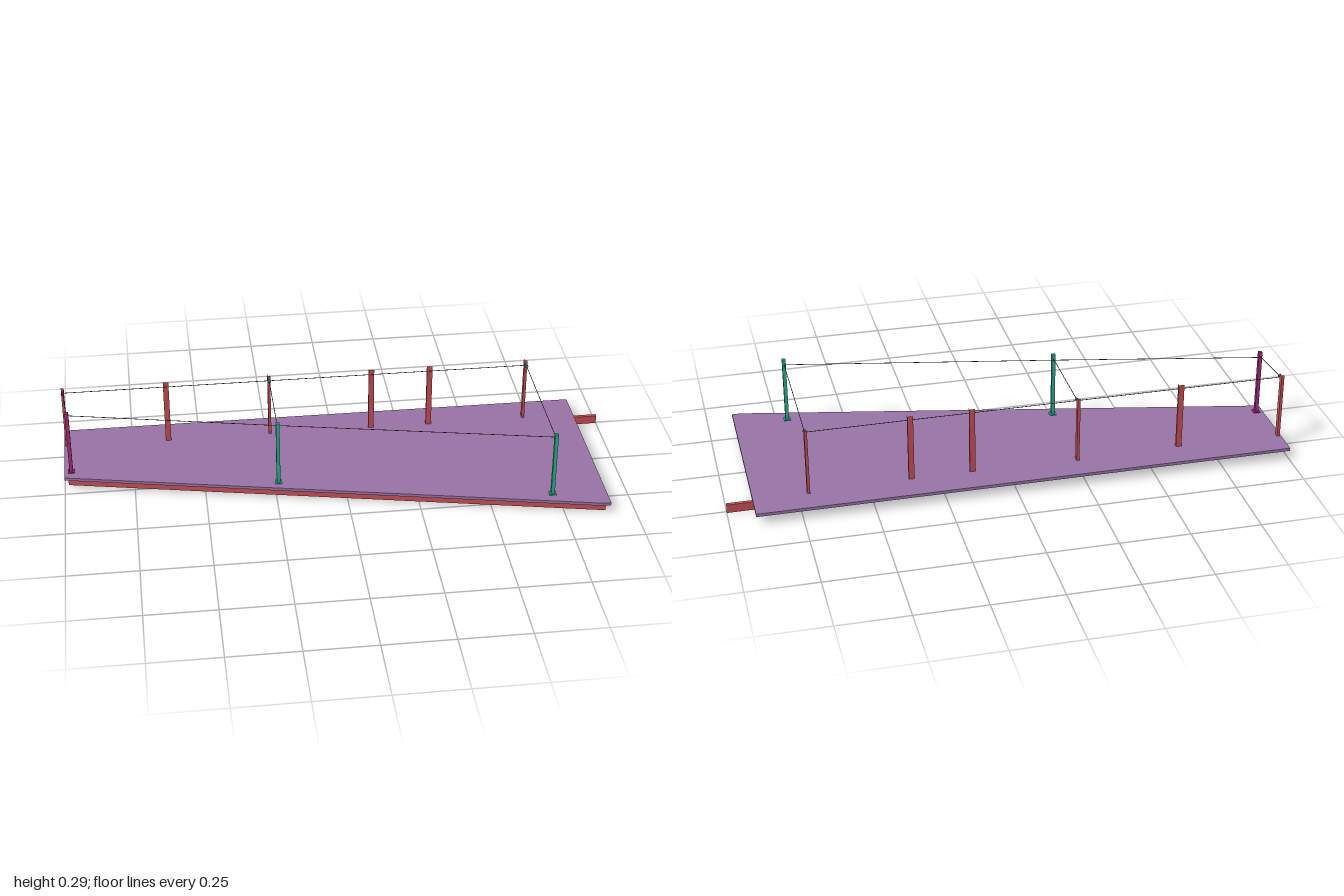
import * as THREE from 'three';

const mat = (color) => new THREE.MeshStandardMaterial({ color, flatShading: true });

export function createModel() {
  const root = new THREE.Group();
  const model = new THREE.Group();
  root.add(model);
  const red = mat(0xc84f55), purple = mat(0x9873a6), green = mat(0x2bb08d);
  const magenta = mat(0xa62c7c), dark = mat(0x444444);

  const add = (name, geometry, material, x = 0, y = 0, z = 0) => {
    const mesh = new THREE.Mesh(geometry, material);
    mesh.name = name;
    mesh.position.set(x, y, z);
    model.add(mesh);
    return mesh;
  };

  // Box without its two end caps; axis 0 = x, 1 = y
  const openBox = (w, h, d, axis) => {
    const g = new THREE.BoxGeometry(w, h, d);
    const index = Array.from(g.index.array);
    index.splice(axis * 12, 12);
    g.setIndex(index);
    return g;
  };

  // Hollow beam running between two points in plan
  const beam = (name, x0, z0, x1, z1, bottom, height, width) => {
    const length = Math.hypot(x1 - x0, z1 - z0);
    const m = add(name, openBox(length, height, width, 0), red,
      (x0 + x1) / 2, bottom + height / 2, (z0 + z1) / 2);
    m.rotation.y = -Math.atan2(z1 - z0, x1 - x0);
  };

  // Round rod or wire between two points
  const rod = (name, a, b, radius, material, sides = 5) => {
    const p = new THREE.Vector3(...a), q = new THREE.Vector3(...b);
    const dir = q.clone().sub(p);
    const m = add(name, new THREE.CylinderGeometry(radius, radius, dir.length(), sides), material);
    m.position.copy(p).add(q).multiplyScalar(0.5);
    m.quaternion.setFromUnitVectors(new THREE.Vector3(0, 1, 0), dir.normalize());
  };

  // Tapering deck: shape y becomes -z
  const shape = new THREE.Shape([
    [-1, 0.36], [-1, 0.035], [0.88, -0.355], [0.91, -0.355], [0.91, 0.36],
  ].map(([x, y]) => new THREE.Vector2(x, y)));
  const deck = new THREE.ExtrudeGeometry(shape, { depth: 0.011, bevelEnabled: false });
  deck.rotateX(-Math.PI / 2);
  add('deck', deck, purple, 0, 0.037, 0);

  // Frame: long back beam, slanting front beam and cross joists
  const frontZ = (x) => -0.05 + (x + 0.985) * 0.207;
  beam('backBeam', -0.985, -0.252, 1, -0.252, 0.005, 0.031, 0.013);
  beam('frontBeam', -0.985, frontZ(-0.985), 0.895, frontZ(0.895), 0.011, 0.026, 0.013);
  const joists = [0.895];
  for (let i = 0; i < 8; i++) joists.push(-0.982 + i * 0.243);
  for (const x of joists) beam('joist', x, -0.25, x, frontZ(x), 0.011, 0.026, 0.013);

  // Flat back posts: wide across x, or turned sideways where a cross wire meets
  for (const x of [-0.617, 0.138, 0.355])
    add('backPost', openBox(0.02, 0.285, 0.01, 1), red, x, 0.1535, -0.25);
  for (const x of [-0.99, -0.24, 0.717])
    add('backPost', openBox(0.01, 0.285, 0.019, 1), red, x, 0.1525, -0.2585);

  // Square front posts with clamping plates and anchor rod below the deck
  const frontPosts = [
    [-0.975, -0.075, magenta, -0.74],
    [-0.24, 0.083, green, -0.01],
    [0.717, 0.272, green, 0.908],
  ];
  for (const [x, z, material, rodEnd] of frontPosts) {
    add('frontPost', new THREE.BoxGeometry(0.013, 0.286, 0.013), material, x, 0.152, z);
    add('postPlate', new THREE.BoxGeometry(0.025, 0.003, 0.025), material, x, 0.0495, z);
    add('postPlate', new THREE.BoxGeometry(0.025, 0.003, 0.025), material, x, 0.0095, z);
    rod('anchorRod', [x, 0.03, z], [rodEnd, 0.03, z], 0.004, material, 6);
  }

  // Wire holders on the sideways back posts
  const wireY = 0.277;
  [[-0.99, magenta], [-0.24, green], [0.717, green]].forEach(([x, material]) => {
    rod('wireHolder', [x, wireY, -0.252], [x, wireY, -0.236], 0.0045, material, 8);
    rod('wireHolderCollar', [x, wireY, -0.239], [x, wireY, -0.234], 0.006, material, 8);
  });

  // Safety wires: back run, front run and cross runs
  const wire = (x0, z0, x1, z1) => rod('wire', [x0, wireY, z0], [x1, wireY, z1], 0.0012, dark);
  wire(-0.99, -0.245, 0.717, -0.245);
  wire(-0.975, -0.085, -0.24, 0.07);
  wire(-0.24, 0.07, 0.717, 0.263);
  for (const [i, x] of [-0.99, -0.24, 0.717].entries())
    wire(x, -0.24, frontPosts[i][0], frontPosts[i][1]);

  // Gentle fall of the whole platform towards +x
  model.rotation.z = -0.002;
  return root;
}
